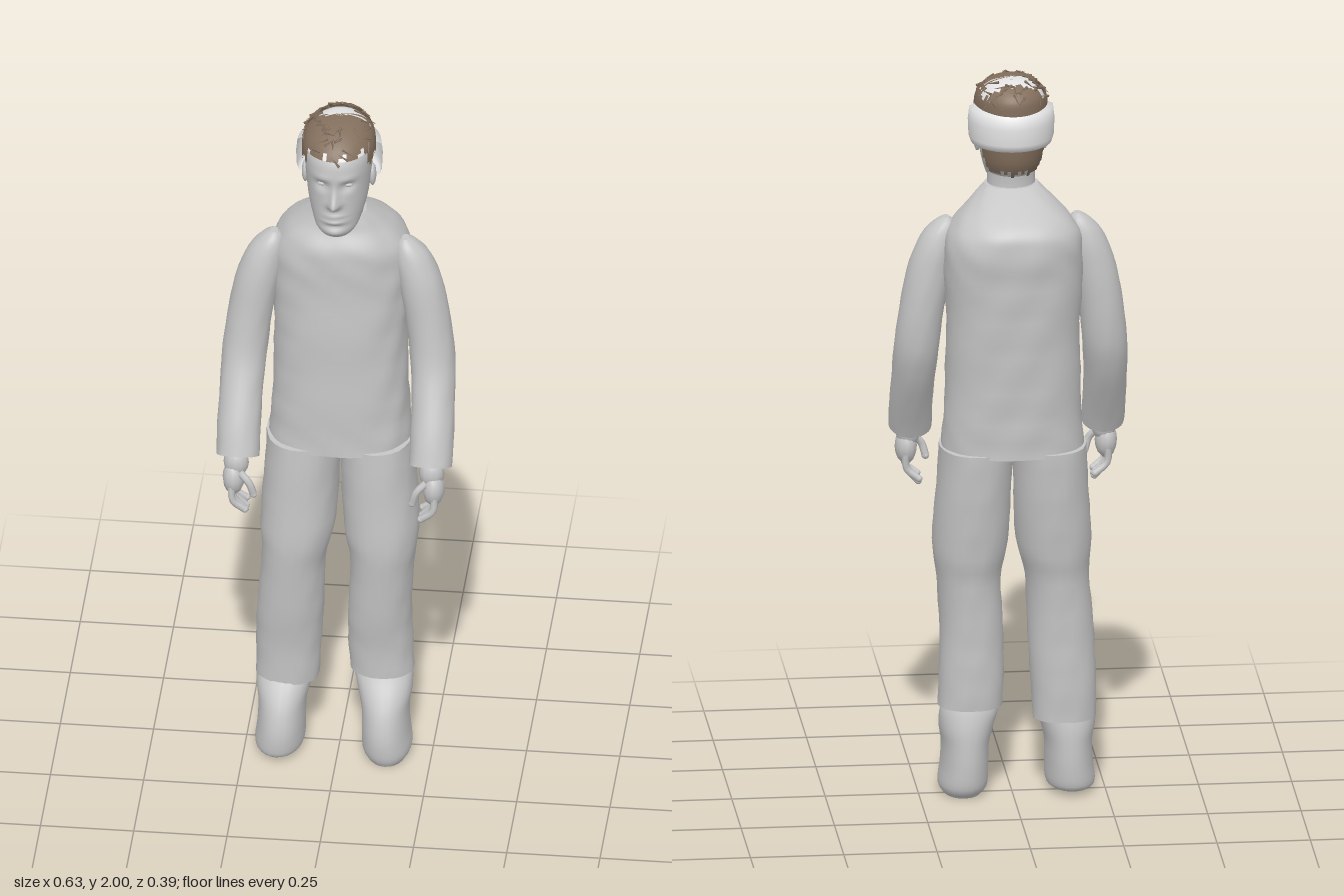
import * as THREE from 'three';
import { mergeGeometries } from 'three/addons/utils/BufferGeometryUtils.js';

const mat = (name, color, side = THREE.FrontSide) => {
  const m = new THREE.MeshStandardMaterial({ color, side });
  m.name = name;
  return m;
};

// Smooth cubic through rows of numbers
function sample(rows, t) {
  const n = rows.length - 1, f = Math.min(t * n, n - 1e-6), i = Math.floor(f), u = f - i;
  const r = (k) => rows[Math.max(0, Math.min(n, k))];
  const a = r(i - 1), b = r(i), c = r(i + 1), d = r(i + 2);
  return b.map((v, k) => v + 0.5 * u * (c[k] - a[k] + u * (2 * a[k] - 5 * v + 4 * c[k] - d[k] + u * (3 * (v - c[k]) + d[k] - a[k]))));
}

// Skin over cross-sections [y, x, z, radiusX, radiusZ, tilt], lowest first
function loft(rows, { segs = 26, steps = 22, power = 2, warp = null, keep = null } = {}) {
  const pos = [], idx = [];
  const sp = (v) => Math.sign(v) * Math.abs(v) ** (2 / power);
  for (let i = 0; i <= steps; i++) {
    const [y, cx, cz, rx, rz, tilt = 0] = sample(rows, i / steps);
    for (let j = 0; j < segs; j++) {
      const a = (j / segs) * Math.PI * 2, dz = sp(Math.cos(a)) * rz;
      const p = new THREE.Vector3(cx + sp(Math.sin(a)) * rx, y + tilt * dz, cz + dz);
      if (warp) warp(p, a);
      pos.push(p.x, p.y, p.z);
    }
  }
  for (let i = 0; i < steps; i++) for (let j = 0; j < segs; j++) {
    const a = i * segs + j, b = i * segs + (j + 1) % segs, c = b + segs, d = a + segs;
    if (keep && !keep(pos[a * 3], pos[a * 3 + 1], pos[a * 3 + 2], j)) continue;
    idx.push(a, b, c, a, c, d);
  }
  // Flat ends on whole skins; partial skins stay open
  if (!keep) for (const row of [0, steps]) {
    const base = pos.length / 3, mid = [0, 0, 0];
    for (let j = 0; j < segs; j++) for (let k = 0; k < 3; k++) {
      const v = pos[(row * segs + j) * 3 + k];
      pos.push(v);
      mid[k] += v / segs;
    }
    pos.push(...mid);
    for (let j = 0; j < segs; j++) {
      const a = base + j, b = base + (j + 1) % segs;
      if (row) idx.push(a, b, base + segs);
      else idx.push(b, a, base + segs);
    }
  }
  const g = new THREE.BufferGeometry();
  g.setAttribute('position', new THREE.Float32BufferAttribute(pos, 3));
  g.setIndex(idx);
  g.computeVertexNormals();
  return keep ? g.toNonIndexed() : g;
}

// Soft cloth creases
const crease = (amp) => (p, a) => {
  const w = Math.sin(p.y * 47 + 2 * Math.sin(a * 3)) * Math.sin(a * 5 + p.y * 19);
  p.x += Math.sin(a) * w * amp;
  p.z += Math.cos(a) * w * amp;
};

const bump = (v, c, s) => Math.exp(-(((v - c) / s) ** 2));

// Facial relief
function face(p) {
  if (p.z < 0.06) return;
  const x = Math.abs(p.x), y = p.y;
  p.z += 0.034 * bump(x, 0, 0.008 + 0.007 * bump(y, 1.795, 0.02)) * bump(y, 1.798, y > 1.798 ? 0.04 : 0.011)
    - 0.014 * bump(x, 0.034, 0.019) * bump(y, 1.852, 0.014)
    + 0.004 * bump(x, 0.034, 0.024) * bump(y, 1.878, 0.01)
    + 0.007 * bump(x, 0, 0.026) * (bump(y, 1.759, 0.006) + bump(y, 1.743, 0.007))
    - 0.005 * bump(x, 0, 0.03) * (bump(y, 1.751, 0.003) + bump(y, 1.727, 0.008))
    + 0.006 * bump(x, 0, 0.025) * bump(y, 1.707, 0.012);
}

const HEAD = [
  [1.683, 0, 0.095, 0.02, 0.025], [1.69, 0, 0.09, 0.04, 0.045], [1.71, 0, 0.075, 0.058, 0.07],
  [1.74, 0, 0.05, 0.07, 0.098], [1.78, 0, 0.035, 0.08, 0.112], [1.83, 0, 0.03, 0.086, 0.117],
  [1.88, 0, 0.03, 0.09, 0.12], [1.92, 0, 0.028, 0.09, 0.115], [1.95, 0, 0.02, 0.08, 0.1],
  [1.972, 0, 0.015, 0.06, 0.072], [1.982, 0, 0.012, 0.035, 0.042], [1.986, 0, 0.01, 0.004, 0.004],
];
const CORE = new THREE.Vector3(0, 1.86, 0.02);
const swell = (scaleAt) => (p) => {
  const k = scaleAt(p.y);
  p.sub(CORE).multiplyScalar(k).add(CORE);
};

export function createModel() {
  const model = new THREE.Group();
  const grey = mat('plain grey', 0xc6c6c6);
  const white = mat('pale band', 0xe6e6e6, THREE.DoubleSide);
  const brown = mat('hair brown', 0x836f5d, THREE.DoubleSide);
  const add = (name, geo, material = grey, parent = model) => {
    const m = new THREE.Mesh(geo, material);
    m.name = name;
    parent.add(m);
    return m;
  };
  const ball = (name, x, y, z, rx, ry, rz, parent = model) =>
    add(name, new THREE.SphereGeometry(1, 12, 8).scale(rx, ry, rz).translate(x, y, z), grey, parent);

  // Jacket body
  add('torso', loft([
    [0.975, 0, -0.018, 0.19, 0.136], [1.1, 0, -0.022, 0.183, 0.138], [1.3, 0, -0.03, 0.178, 0.145],
    [1.48, 0, -0.039, 0.185, 0.149], [1.57, 0, -0.043, 0.182, 0.151], [1.62, 0, -0.036, 0.157, 0.14],
    [1.665, 0, -0.018, 0.113, 0.1], [1.705, 0, 0.012, 0.072, 0.06],
  ], { segs: 44, steps: 42, power: 2.3, warp: crease(0.0025) }));

  // Trousers, with hems at different heights
  const trouser = (name, rows) => add(name, loft(rows, { steps: 28, power: 2.2, warp: crease(0.0015) }));
  trouser('rightTrouserLeg', [
    [0.21, -0.14, -0.005, 0.085, 0.075], [0.32, -0.137, -0.004, 0.087, 0.082], [0.45, -0.131, 0.004, 0.089, 0.093],
    [0.6, -0.122, 0.008, 0.085, 0.108], [0.7, -0.112, 0.002, 0.1, 0.12], [0.85, -0.104, -0.01, 0.1, 0.128], [0.985, -0.098, -0.018, 0.098, 0.132],
  ]);
  trouser('leftTrouserLeg', [
    [0.25, 0.113, -0.004, 0.086, 0.077], [0.34, 0.109, -0.003, 0.086, 0.083], [0.45, 0.108, 0.004, 0.085, 0.093],
    [0.6, 0.115, 0.008, 0.085, 0.108], [0.7, 0.113, 0.002, 0.1, 0.12], [0.85, 0.104, -0.01, 0.1, 0.128], [0.985, 0.098, -0.018, 0.098, 0.132],
  ]);

  for (const s of [-1, 1]) {
    // Boot
    const x = s < 0 ? -0.15 : 0.122, side = s < 0 ? 'right' : 'left';
    add(side + 'Boot', loft([
      [s < 0 ? 0.01 : 0, x + s * 0.01, 0.03, 0.052, 0.088], [0.025, x + s * 0.008, 0.025, 0.066, 0.104], [0.08, x + s * 0.004, 0.023, 0.064, 0.108],
      [0.14, x + s * 0.002, 0.016, 0.064, 0.1], [0.19, x, 0.005, 0.073, 0.085], [0.24, x - s * 0.006, -0.007, 0.077, 0.062], [0.28, x - s * 0.006, -0.01, 0.06, 0.045],
    ], { power: 2.15 }));

    // Sleeve, bent forward at the elbow
    const arm = new THREE.Group();
    arm.name = side + 'Arm';
    model.add(arm);
    add('sleeve', loft([
      [0.988, s * 0.258, 0.148, 0.057, 0.05, 0.45], [1.06, s * 0.259, 0.116, 0.058, 0.056, 0.4], [1.16, s * 0.257, 0.065, 0.058, 0.062, 0.3],
      [1.25, s * 0.252, 0.03, 0.06, 0.065, 0.15], [1.36, s * 0.24, 0.015, 0.06, 0.064, 0], [1.48, s * 0.218, 0.01, 0.059, 0.061, 0],
      [1.56, s * 0.196, 0.006, 0.05, 0.05, 0], [1.6, s * 0.182, 0.005, 0.03, 0.035, 0], [1.617, s * 0.176, 0.005, 0.01, 0.015, 0],
    ], { steps: 28, warp: crease(0.001) }), grey, arm);

    // Hand with curled fingers and thumb
    ball('wrist', s * 0.262, 0.97, 0.155, 0.034, 0.045, 0.032, arm);
    ball('palm', s * 0.268, 0.925, 0.16, 0.03, 0.05, 0.04, arm);
    const digit = (name, pts, r) => {
      const v = pts.map(([px, py, pz]) => new THREE.Vector3(s * px, py, pz));
      add(name, new THREE.TubeGeometry(new THREE.CatmullRomCurve3(v), 6, r, 7), grey, arm);
      ball(name + 'Tip', v[2].x, v[2].y, v[2].z, r, r, r, arm);
    };
    for (let i = 0; i < 4; i++) {
      const z = 0.13 + i * 0.019, drop = [0.012, 0, 0, 0.01][i];
      digit('finger', [[0.272, 0.91, z], [0.268, 0.868, z + 0.003], [0.236, 0.829 + drop, z - 0.002]], 0.0098);
    }
    digit('thumb', [[0.25, 0.95, 0.178], [0.225, 0.925, 0.187], [0.213, 0.888, 0.184]], 0.0105);

    // Eye and ear
    ball(side + 'Eye', s * 0.034, 1.852, 0.124, 0.014, 0.0065, 0.008);
    ball(side + 'Ear', s * 0.09, 1.825, 0.025, 0.01, 0.033, 0.02);
  }

  // Neck and head
  add('neck', loft([[1.66, 0, 0.015, 0.068, 0.062], [1.71, 0, 0.022, 0.064, 0.064], [1.78, 0, 0.02, 0.064, 0.07]], { steps: 6 }));
  add('head', loft(HEAD, { segs: 72, steps: 66, power: 2.1, warp: face }));

  // Pale scalp showing at the crown and hairline
  add('scalp', loft(HEAD, { segs: 40, steps: 44, warp: swell(() => 1.05), keep: (x, y) => y > 1.925 }), white);

  // Hair with a ragged hairline and an open crown
  const inHair = (x, y, z, j) => {
    const r = 0.012 * Math.sin(j * 2.4) * Math.cos(j * 1.3);
    if (y > 1.95 && z > -0.05 + r && z < 0.012 + r && Math.abs(x) < 0.085) return false;
    if (z < -0.02 + r) return y > 1.748 + r;
    return y > (z > 0.1 ? 1.935 : 1.9) + r;
  };
  const hairScale = swell((y) => 1.08 + 0.04 * THREE.MathUtils.smoothstep(y, 1.9, 1.95));
  add('hair', loft(HEAD, { segs: 56, steps: 44, warp: hairScale, keep: inHair }), brown);

  // Loose locks lying over the hair
  let seed = 7;
  const rnd = () => {
    seed = (seed * 16807) % 2147483647;
    return seed / 2147483647;
  };
  const locks = [];
  for (let i = 0; i < 60; i++) {
    const a = rnd() * Math.PI * 2, [y, , cz, rx, rz] = sample(HEAD, 0.66 + rnd() * 0.2);
    const p = new THREE.Vector3(Math.sin(a) * rx, y, cz + Math.cos(a) * rz);
    hairScale(p);
    const out = p.clone().sub(CORE).normalize();
    const dir = new THREE.Vector3(rnd() - 0.5, -rnd() * 0.6, rnd() - 0.5).projectOnPlane(out).normalize();
    const turn = new THREE.Quaternion().setFromUnitVectors(new THREE.Vector3(0, 1, 0), dir);
    locks.push(new THREE.ConeGeometry(0.004, 0.035, 4).applyQuaternion(turn).translate(p.x, p.y, p.z));
  }
  add('hairLocks', mergeGeometries(locks), brown);

  // Half band round the back of the head
  const profile = [[0.085, 1.82], [0.108, 1.822], [0.114, 1.84], [0.116, 1.885], [0.112, 1.92], [0.085, 1.932]]
    .map(([r, y]) => new THREE.Vector2(r, y));
  add('headBand', new THREE.LatheGeometry(profile, 28, Math.PI / 2, Math.PI).scale(1, 1, 1.08).translate(0, 0, 0.02), white);

  return model;
}
